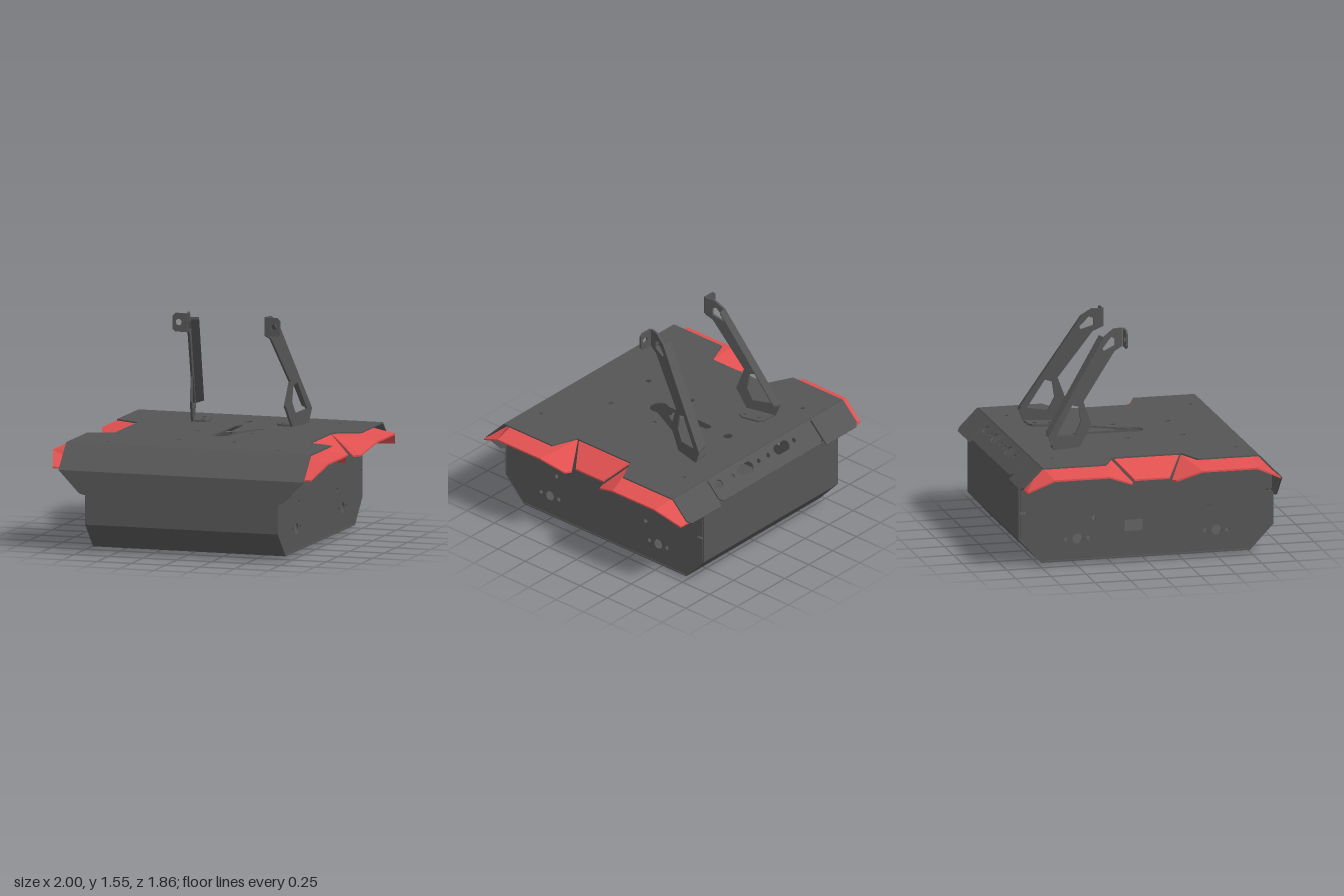
import * as THREE from 'three';

const dark = new THREE.MeshStandardMaterial({ color: 0x555555, side: THREE.DoubleSide, flatShading: true });
const red = new THREE.MeshStandardMaterial({ color: 0xe05050, side: THREE.DoubleSide, flatShading: true });
const V = (x, y, z) => new THREE.Vector3(x, y, z);

function add(parent, name, geometry, material = dark) {
  const mesh = new THREE.Mesh(geometry, material);
  mesh.name = name;
  parent.add(mesh);
  return mesh;
}

const path = (pts) => new THREE.Path(pts.map(([a, b]) => new THREE.Vector2(a, b)));
const round = (x, y, r) => new THREE.Path().absarc(x, y, r, 0, Math.PI * 2, true);
const slot = (x, y, w, r) => new THREE.Path()
  .absarc(x + w / 2 - r, y, r, -Math.PI / 2, Math.PI / 2, false)
  .absarc(x - w / 2 + r, y, r, Math.PI / 2, Math.PI * 1.5, false);

// Flat outline with holes, extruded by t along u x v
function panel(pts, holes, t, origin, u, v) {
  const shape = new THREE.Shape(pts.map(([a, b]) => new THREE.Vector2(a, b)));
  shape.holes.push(...holes);
  const g = new THREE.ExtrudeGeometry(shape, { depth: t, bevelEnabled: false, curveSegments: 10 });
  const m = new THREE.Matrix4().makeBasis(u, v, u.clone().cross(v)).setPosition(origin);
  return g.applyMatrix4(m);
}

// Thin folded sheet: each facet gets an upper face, a lower face and a rim
function sheet(facets, t) {
  const pos = [];
  const tri = (...p) => p.forEach((q) => pos.push(...q));
  for (const f of facets) {
    const low = f.map(([x, y, z]) => [x, y - t, z]);
    for (let i = 1; i < f.length - 1; i++) {
      tri(f[0], f[i], f[i + 1]);
      tri(low[0], low[i + 1], low[i]);
    }
    f.forEach((p, i) => {
      const j = (i + 1) % f.length;
      tri(p, low[i], low[j]);
      tri(p, low[j], f[j]);
    });
  }
  const g = new THREE.BufferGeometry();
  g.setAttribute('position', new THREE.Float32BufferAttribute(pos, 3));
  g.computeVertexNormals();
  return g;
}

// Red corner guard, on +x and toward sz
const cornerGuard = (sz) => sheet([
  [[0.7, 0.728, 0.25], [1, 0.68, 0.33], [1, 0.68, 0.72], [0.7, 0.728, 0.76]],
  [[0.7, 0.728, 0.76], [1, 0.68, 0.72], [0.94, 0.59, 0.9], [0.7, 0.58, 0.9]],
  [[0.7, 0.728, 0.25], [0.89, 0.605, 0.14], [0.94, 0.61, 0.16], [1, 0.68, 0.33]],
].map((f) => {
  const q = f.map(([x, y, z]) => [x, y, z * sz]);
  return sz > 0 ? q.reverse() : q;
}), 0.012);

function makeBracket() {
  const g = new THREE.Group();
  // Upright plate, lying along a line that runs inward toward the front
  const arm = panel(
    [[-0.06, 1.55], [-0.125, 1.55], [-0.2, 1.5], [-0.62, 0.84], [-0.58, 0.745], [-0.38, 0.745],
      [-0.295, 0.895], [-0.355, 1.06], [-0.12, 1.39], [-0.06, 1.42]],
    [path([[-0.39, 1.03], [-0.44, 1.045], [-0.56, 0.845], [-0.42, 0.83], [-0.375, 0.92]]),
      path([[-0.115, 1.48], [-0.145, 1.495], [-0.21, 1.42], [-0.2, 1.4], [-0.115, 1.43]])],
    0.015, V(0.275, 0, 0), V(0, 0, 1), V(0, 1, 0));
  const p = arm.attributes.position;
  for (let i = 0; i < p.count; i++) p.setX(i, p.getX(i) - 0.25 * p.getZ(i));
  arm.computeVertexNormals();
  add(g, 'arm', arm);
  // Points measured inward from the plate
  const at = (z, y, off) => [0.275 - 0.25 * z - off, y, z - 0.25 * off];
  add(g, 'armFlange', sheet([[at(-0.62, 0.845, 0), at(-0.2, 1.5, 0), at(-0.2, 1.5, 0.07), at(-0.6, 0.87, 0.07)]], 0.015));
  add(g, 'foot', sheet([[at(-0.58, 0.757, 0), at(-0.38, 0.757, 0), at(-0.36, 0.757, 0.1),
    at(-0.39, 0.757, 0.13), at(-0.52, 0.757, 0.13), at(-0.55, 0.757, 0.1)]], 0.014));
  for (const z of [-0.5, -0.4]) {
    const [x, y, zz] = at(z, 0.76, 0.085);
    add(g, 'footBolt', new THREE.CylinderGeometry(0.016, 0.016, 0.01, 12)).position.set(x, y, zz);
  }
  // Outward tab with its mounting hole
  add(g, 'tab', panel([[0.285, 1.42], [0.37, 1.42], [0.39, 1.44], [0.39, 1.53], [0.37, 1.55], [0.285, 1.55]],
    [round(0.347, 1.487, 0.023)], 0.013, V(0, 0, -0.058), V(1, 0, 0), V(0, 1, 0)));
  return g;
}

export function createModel() {
  const model = new THREE.Group();
  const X = V(1, 0, 0), Y = V(0, 1, 0), Z = V(0, 0, 1);

  // Top deck with side notches, bolt holes and the branched slot
  const deckHoles = [round(0, -0.51, 0.032), round(0.2, -0.005, 0.02), round(-0.2, -0.005, 0.02),
    round(0.2, 0.39, 0.02), round(-0.2, 0.39, 0.02)];
  for (const x of [-0.62, 0.62]) for (const z of [-0.65, 0.66]) deckHoles.push(round(x, z, 0.015));
  deckHoles.push(new THREE.Path().moveTo(0.027, -0.04)
    .lineTo(0.027, -0.32).absarc(0, -0.32, 0.028, 0, Math.PI, true)
    .lineTo(-0.03, 0.06).absarc(0.02, 0.1, 0.065, Math.PI * 1.15, -0.5, true)
    .lineTo(0.215, -0.21).lineTo(0.205, -0.235).lineTo(0.18, -0.23)
    .lineTo(0.075, -0.04).lineTo(0.05, -0.025).lineTo(0.027, -0.04));
  add(model, 'deck', panel(
    [[-0.89, -0.78], [0.89, -0.78], [0.89, -0.33], [0.71, -0.24], [0.71, 0.25], [0.89, 0.32], [0.89, 0.76],
      [-0.89, 0.76], [-0.89, 0.32], [-0.71, 0.25], [-0.71, -0.24], [-0.89, -0.33]],
    deckHoles, 0.01, V(0, 0.742, 0), X, Z));

  // Front bevel and the skirt below it
  const fall = V(0, -0.17, 0.165);
  const len = fall.length();
  add(model, 'frontBevel', panel([[-0.89, 0], [0.89, 0], [0.89, len], [-0.89, len]], [], 0.01,
    V(0, 0.742, 0.76), X, fall.clone().normalize()));
  add(model, 'frontSkirt', panel(
    [[-0.89, 0.572], [-0.74, 0.415], [-0.7, 0.405], [-0.5, 0.397], [-0.22, 0.392], [0, 0.377],
      [0.22, 0.392], [0.5, 0.397], [0.7, 0.405], [0.74, 0.415], [0.89, 0.572]],
    [], 0.01, V(0, 0, 0.915), X, Y));

  // Rear sloped flap: longer corners, slotted middle
  const half = [[0.89, 0], [0.89, 0.18], [0.86, 0.21], [0.55, 0.21], [0.55, 0.01], [0.535, 0.01], [0.535, 0.16], [0.51, 0.185]];
  const flapHoles = [slot(-0.19, 0.07, 0.15, 0.036), slot(0.19, 0.07, 0.15, 0.036), slot(0.465, 0.07, 0.07, 0.03)];
  for (const x of [-0.32, -0.05, 0.05, 0.32]) flapHoles.push(round(x, 0.07, 0.016));
  add(model, 'rearFlap', panel([...half, ...half.map(([x, v]) => [-x, v]).reverse()],
    flapHoles, 0.01, V(0, 0.735, -0.78), X, V(0, -0.15, -0.148).normalize()));

  // Side walls
  for (const s of [1, -1]) {
    const holes = [round(0.445, 0.357, 0.016), round(-0.37, 0.32, 0.016)];
    for (const z of [0.505, -0.485]) {
      holes.push(round(z, 0.18, 0.036), round(z - 0.08, 0.18, 0.015), round(z + 0.08, 0.18, 0.015));
    }
    for (const z of [0.515, -0.5]) holes.push(round(z, 0.655, 0.01));
    if (s < 0) holes.push(path([[-0.15, 0.21], [-0.02, 0.21], [-0.02, 0.29], [-0.15, 0.29]]));
    add(model, s > 0 ? 'leftWall' : 'rightWall', panel(
      [[-0.74, 0.035], [0.74, 0.035], [0.9, 0.2], [0.9, 0.435], [0.86, 0.435], [0.86, 0.45], [0.9, 0.45],
        [0.9, 0.58], [0.75, 0.731], [-0.77, 0.731], [-0.89, 0.6], [-0.89, 0.39], [-0.845, 0.39],
        [-0.845, 0.375], [-0.89, 0.375], [-0.89, 0.2]],
      holes, 0.013, V(s > 0 ? 0.7 : -0.687, 0, 0), Z, Y));
  }

  // Folded tray: front wall, chamfers, floor and rear wall
  const fold = [[0.905, 0.42], [0.905, 0.2], [0.74, 0.027], [-0.74, 0.027], [-0.9, 0.2], [-0.9, 0.6]];
  for (let i = 0; i < fold.length - 1; i++) {
    const [z0, y0] = fold[i], [z1, y1] = fold[i + 1];
    const part = add(model, ['trayFront', 'trayFrontChamfer', 'trayFloor', 'trayRearChamfer', 'trayRear'][i],
      new THREE.BoxGeometry(1.402, 0.01, Math.hypot(z1 - z0, y1 - y0) + 0.004));
    part.position.set(0, (y0 + y1) / 2, (z0 + z1) / 2);
    part.rotation.x = Math.atan2(y0 - y1, z1 - z0);
  }

  // Bottom hatch and floor screws
  add(model, 'hatch', panel(
    [[-0.37, -0.34], [-0.34, -0.38], [0.34, -0.38], [0.37, -0.34], [0.37, 0.33], [0.34, 0.36], [-0.34, 0.36], [-0.37, 0.33]],
    [], 0.018, V(0, 0.022, 0), X, Z));
  for (const x of [-1, 1]) for (const z of [-1, 1]) {
    add(model, 'hatchScrew', new THREE.CylinderGeometry(0.018, 0.018, 0.006, 12)).position.set(x * 0.32, 0.003, z * 0.32);
    add(model, 'floorScrew', new THREE.CylinderGeometry(0.018, 0.018, 0.008, 12)).position.set(x * 0.64, 0.02, z * 0.66);
    add(model, 'floorScrew', new THREE.CylinderGeometry(0.018, 0.018, 0.008, 12)).position.set(x * 0.64, 0.02, z * 0.22);
  }

  // Mirrored side parts: red guards and raised brackets
  for (const s of [1, -1]) {
    const side = new THREE.Group();
    side.name = s > 0 ? 'leftSide' : 'rightSide';
    side.scale.x = s;
    add(side, 'frontGuard', cornerGuard(1), red);
    add(side, 'rearGuard', cornerGuard(-1), red);
    add(side, 'middleGuard', sheet([[[0.705, 0.73, 0.235], [0.86, 0.615, 0.13], [0.86, 0.615, -0.12], [0.705, 0.73, -0.225]]], 0.012), red);
    const bracket = makeBracket();
    bracket.name = 'bracket';
    side.add(bracket);
    model.add(side);
  }
  return model;
}
